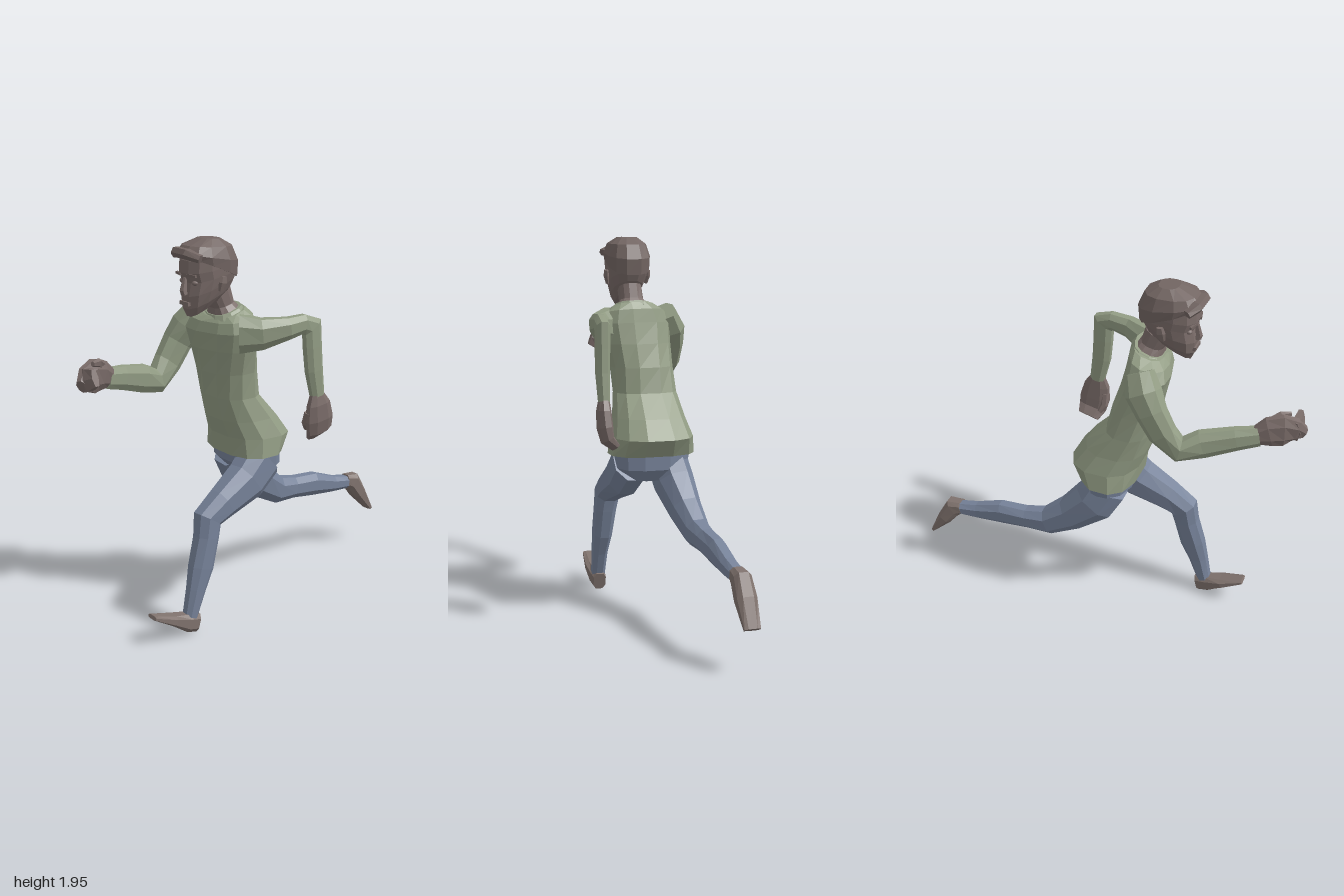
import * as THREE from 'three';

const mat = (name, color) => Object.assign(new THREE.MeshStandardMaterial({ color }), { name });

// Faceted skin over rings; a ring is { c: centre, s: side axis, d: depth axis }
function skinRings(rings, n, power) {
  const pos = [];
  const bend = v => Math.sign(v) * Math.abs(v) ** power;
  const loops = rings.map(r => Array.from({ length: n }, (_, j) => {
    const a = (j + 0.5) / n * Math.PI * 2;
    return r.c.clone().addScaledVector(r.s, bend(Math.cos(a))).addScaledVector(r.d, bend(Math.sin(a)));
  }));
  const tri = (...p) => p.forEach(v => pos.push(v.x, v.y, v.z));
  const last = rings.length - 1;
  for (let j = 0; j < n; j++) {
    const k = (j + 1) % n;
    for (let i = 0; i < last; i++) {
      const A = loops[i], B = loops[i + 1];
      tri(A[j], B[j], A[k]);
      tri(A[k], B[j], B[k]);
    }
    tri(rings[0].c, loops[0][j], loops[0][k]);
    tri(rings[last].c, loops[last][k], loops[last][j]);
  }
  const g = new THREE.BufferGeometry();
  g.setAttribute('position', new THREE.Float32BufferAttribute(pos, 3));
  g.computeVertexNormals();
  return g;
}

// Limb along a path of [x, y, z, half width, half depth]
function limb(path, n = 8, side = [1, 0, 0], power = 0.85) {
  const pts = path.map(p => new THREE.Vector3(p[0], p[1], p[2]));
  return skinRings(path.map((p, i) => {
    const dir = (a, b) => pts[b].clone().sub(pts[a]).normalize();
    const t = new THREE.Vector3();
    if (i > 0) t.add(dir(i - 1, i));
    if (i < pts.length - 1) t.add(dir(i, i + 1));
    t.normalize();
    const s = new THREE.Vector3(...side);
    s.addScaledVector(t, -s.dot(t)).normalize();
    const d = s.clone().cross(t);
    return { c: pts[i], s: s.multiplyScalar(p[3]), d: d.multiplyScalar(p[4]) };
  }), n, power);
}

// Body from rings of [front z, front y, back z, back y, centre x, half width, yaw]
function body(list, n = 12, power = 0.8) {
  return skinRings(list.map(([fz, fy, bz, by, x, w, yaw = 0]) => {
    const depth = (fz - bz) / 2;
    return {
      c: new THREE.Vector3(x, (fy + by) / 2, (fz + bz) / 2),
      s: new THREE.Vector3(w * Math.cos(yaw), 0, -w * Math.sin(yaw)),
      d: new THREE.Vector3(depth * Math.sin(yaw), (fy - by) / 2, depth * Math.cos(yaw)),
    };
  }), n, power);
}

export function createModel() {
  const model = new THREE.Group();
  model.name = 'runner';
  const skin = mat('skin', 0x7b6d6a);
  const hair = mat('hair', 0x736663);
  const shirt = mat('shirt', 0x929c84);
  const jeans = mat('jeans', 0x77839a);
  const shoe = mat('shoe', 0x80736e);
  const add = (name, geometry, material, parent = model) => {
    const m = new THREE.Mesh(geometry, material);
    m.name = name;
    parent.add(m);
    return m;
  };

  // Shirt body, flared at the hem and twisted at the shoulders
  add('shirtBody', body([
    [0.19, 0.86, -0.10, 0.86, -0.045, 0.225],
    [0.205, 0.96, -0.16, 0.95, -0.042, 0.21],
    [0.235, 1.05, -0.09, 1.05, -0.04, 0.185],
    [0.26, 1.17, 0.02, 1.17, -0.04, 0.165],
    [0.285, 1.30, 0.045, 1.30, -0.03, 0.165, 0.1],
    [0.31, 1.42, 0.075, 1.42, -0.015, 0.182, 0.2],
    [0.325, 1.51, 0.10, 1.53, -0.01, 0.2, 0.25],
    [0.31, 1.56, 0.11, 1.60, 0, 0.17, 0.25],
    [0.285, 1.585, 0.13, 1.635, 0.008, 0.115, 0.15],
  ]), shirt);
  add('collar', body([
    [0.295, 1.565, 0.125, 1.62, 0.008, 0.118],
    [0.282, 1.592, 0.135, 1.643, 0.008, 0.095],
  ]), shirt);

  // Sleeves: left swings back, right swings forward
  add('leftSleeve', limb([
    [0.13, 1.51, 0.20, 0.07, 0.1], [0.2, 1.51, 0.12, 0.055, 0.08],
    [0.25, 1.53, 0, 0.042, 0.057], [0.255, 1.54, -0.09, 0.036, 0.05],
    [0.26, 1.52, -0.14, 0.036, 0.062], [0.262, 1.42, -0.145, 0.036, 0.052],
    [0.264, 1.3, -0.155, 0.034, 0.05], [0.264, 1.16, -0.18, 0.028, 0.04],
  ]), shirt);
  add('rightSleeve', limb([
    [-0.18, 1.58, 0.22, 0.055, 0.075], [-0.22, 1.5, 0.26, 0.073, 0.09],
    [-0.245, 1.42, 0.31, 0.058, 0.08], [-0.25, 1.32, 0.37, 0.053, 0.075],
    [-0.235, 1.24, 0.45, 0.053, 0.068], [-0.2, 1.275, 0.55, 0.045, 0.073],
    [-0.15, 1.315, 0.7, 0.038, 0.062], [-0.115, 1.335, 0.8, 0.03, 0.053],
  ]), shirt);

  // Hands, loosely curled
  add('leftHand', limb([
    [0.264, 1.18, -0.175, 0.025, 0.036], [0.268, 1.12, -0.185, 0.033, 0.07],
    [0.265, 1.04, -0.195, 0.035, 0.084], [0.255, 0.98, -0.205, 0.03, 0.078],
    [0.215, 0.942, -0.215, 0.018, 0.06],
  ]), skin);
  add('leftThumb', limb([
    [0.255, 1.08, -0.13, 0.018, 0.02], [0.235, 1.02, -0.13, 0.018, 0.02], [0.215, 0.985, -0.15, 0.01, 0.012],
  ], 6), skin);
  add('rightHand', limb([
    [-0.118, 1.335, 0.785, 0.026, 0.048], [-0.1, 1.36, 0.84, 0.034, 0.076],
    [-0.075, 1.37, 0.9, 0.036, 0.085], [-0.045, 1.365, 0.95, 0.034, 0.065],
    [-0.02, 1.345, 0.985, 0.026, 0.035],
  ]), skin);
  add('rightFingers', limb([
    [-0.06, 1.365, 0.945, 0.065, 0.035], [-0.01, 1.375, 0.955, 0.058, 0.033], [0.042, 1.395, 0.95, 0.045, 0.018],
  ], 6, [0, 1, 0]), skin);
  add('rightThumb', limb([
    [-0.09, 1.41, 0.84, 0.018, 0.022], [-0.055, 1.435, 0.88, 0.018, 0.022], [-0.03, 1.44, 0.92, 0.01, 0.012],
  ], 6), skin);

  // Trousers
  add('trouserSeat', body([
    [0.11, 0.75, -0.06, 0.73, -0.035, 0.13],
    [0.165, 0.81, -0.1, 0.79, -0.04, 0.195],
    [0.175, 0.9, -0.1, 0.9, -0.04, 0.2],
  ]), jeans);
  add('leftTrouserLeg', limb([
    [0.065, 0.82, 0.03, 0.1, 0.12], [0.08, 0.73, 0.13, 0.092, 0.113],
    [0.095, 0.65, 0.29, 0.075, 0.085], [0.1, 0.59, 0.385, 0.066, 0.076],
    [0.108, 0.5, 0.4, 0.06, 0.065], [0.115, 0.35, 0.44, 0.053, 0.067],
    [0.12, 0.24, 0.475, 0.043, 0.052], [0.12, 0.1, 0.515, 0.038, 0.037],
  ]), jeans);
  add('rightTrouserLeg', limb([
    [-0.13, 0.82, 0.04, 0.1, 0.12], [-0.15, 0.71, -0.02, 0.1, 0.12],
    [-0.17, 0.59, -0.15, 0.08, 0.095], [-0.185, 0.505, -0.28, 0.065, 0.077],
    [-0.19, 0.49, -0.4, 0.055, 0.062], [-0.19, 0.475, -0.55, 0.05, 0.067],
    [-0.192, 0.44, -0.7, 0.043, 0.047], [-0.194, 0.425, -0.81, 0.04, 0.037],
  ]), jeans);

  // Shoes, from heel to toe
  add('leftShoe', limb([
    [0.12, 0.06, 0.477, 0.036, 0.05], [0.12, 0.075, 0.53, 0.044, 0.05],
    [0.118, 0.115, 0.62, 0.051, 0.028], [0.118, 0.163, 0.735, 0.036, 0.01],
  ], 8, [1, 0, 0], 0.7), shoe);
  add('rightShoe', limb([
    [-0.195, 0.435, -0.8, 0.04, 0.036], [-0.195, 0.42, -0.852, 0.046, 0.054],
    [-0.197, 0.34, -0.905, 0.052, 0.042], [-0.197, 0.225, -0.988, 0.042, 0.013],
  ], 8, [1, 0, 0], 0.7), shoe);

  // Neck and head
  const head = new THREE.Group();
  head.name = 'head';
  model.add(head);
  add('neck', body([
    [0.278, 1.585, 0.14, 1.63, 0.008, 0.088],
    [0.278, 1.625, 0.165, 1.655, 0.008, 0.062],
    [0.31, 1.68, 0.185, 1.73, 0.01, 0.06],
  ]), skin, head);
  add('skull', body([
    [0.415, 1.6, 0.215, 1.7, 0.01, 0.05],
    [0.432, 1.64, 0.185, 1.74, 0.01, 0.078],
    [0.436, 1.7, 0.165, 1.785, 0.01, 0.096],
    [0.426, 1.765, 0.157, 1.82, 0.01, 0.106],
    [0.442, 1.81, 0.155, 1.85, 0.01, 0.109],
    [0.438, 1.87, 0.165, 1.89, 0.01, 0.109],
    [0.4, 1.93, 0.2, 1.925, 0.01, 0.09],
    [0.34, 1.955, 0.25, 1.95, 0.01, 0.045],
  ]), skin, head);
  add('hairCap', body([
    [0.435, 1.885, 0.155, 1.77, 0.01, 0.112],
    [0.452, 1.905, 0.148, 1.85, 0.01, 0.116],
    [0.425, 1.938, 0.178, 1.925, 0.01, 0.097],
    [0.34, 1.967, 0.24, 1.962, 0.01, 0.052],
  ]), hair, head);
  add('fringe', limb([
    [-0.09, 1.885, 0.41, 0.02, 0.024], [-0.04, 1.905, 0.44, 0.026, 0.03],
    [0.05, 1.905, 0.443, 0.026, 0.03], [0.11, 1.885, 0.41, 0.02, 0.024],
  ], 6, [0, 1, 0]), hair, head);

  // Face
  add('nose', limb([
    [0.01, 1.79, 0.43, 0.009, 0.01], [0.01, 1.73, 0.442, 0.017, 0.018], [0.01, 1.71, 0.437, 0.02, 0.016],
  ], 6), skin, head);
  add('lips', new THREE.BoxGeometry(0.07, 0.018, 0.02).translate(0.01, 1.667, 0.43), skin, head);
  for (const side of [-1, 1]) {
    const name = side > 0 ? 'left' : 'right';
    const eye = add(name + 'Eye', new THREE.SphereGeometry(0.017, 8, 6), skin, head);
    eye.position.set(0.01 + side * 0.05, 1.767, 0.408);
    eye.scale.y = 0.75;
    const brow = add(name + 'Brow', new THREE.BoxGeometry(0.055, 0.012, 0.012), hair, head);
    brow.position.set(0.01 + side * 0.052, 1.803, 0.43);
    brow.rotation.y = side * 0.25;
    add(name + 'Ear', limb([
      [0.01 + side * 0.104, 1.725, 0.3, 0.008, 0.014], [0.01 + side * 0.112, 1.765, 0.293, 0.013, 0.024],
      [0.01 + side * 0.113, 1.795, 0.288, 0.01, 0.018],
    ], 6), skin, head);
  }
  return model;
}
